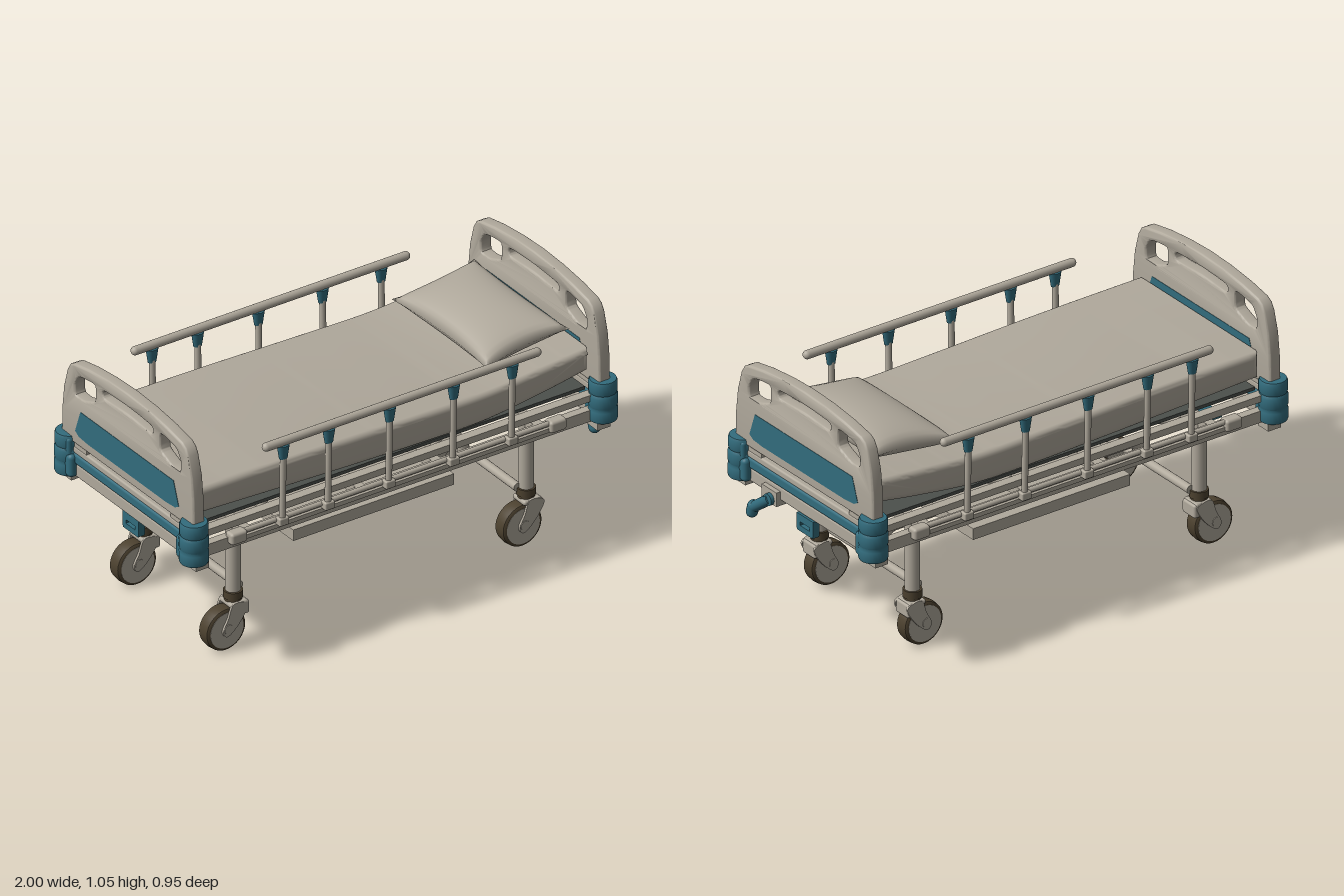
import * as THREE from 'three';
import { toCreasedNormals, mergeVertices } from 'three/addons/utils/BufferGeometryUtils.js';
import { RoundedBoxGeometry } from 'three/addons/geometries/RoundedBoxGeometry.js';

const material = (name, color) => {
  const m = new THREE.MeshStandardMaterial({ color });
  m.name = name;
  return m;
};
const V = (x, y, z) => new THREE.Vector3(x, y, z);
const P = (x, y) => new THREE.Vector2(x, y);

export function createModel() {
  const bed = new THREE.Group();
  bed.name = 'hospitalBed';
  const cream = material('cream', 0xb0a99c);
  const teal = material('teal', 0x326c7d);
  const rubber = material('rubber', 0x4c412f);
  const dark = material('darkDeck', 0x4c504c);

  const add = (name, geo, mat, x = 0, y = 0, z = 0, parent = bed) => {
    const m = new THREE.Mesh(geo, mat);
    m.name = name;
    m.position.set(x, y, z);
    parent.add(m);
    return m;
  };
  const box = (name, mat, w, h, d, x, y, z, parent) => add(name, new THREE.BoxGeometry(w, h, d), mat, x, y, z, parent);
  const soft = (name, mat, w, h, d, x, y, z, r = 0.012, parent = bed) =>
    add(name, new RoundedBoxGeometry(w, h, d, 3, r), mat, x, y, z, parent);
  // Round bar between two points
  const rod = (name, mat, a, b, r, parent) => {
    const dir = b.clone().sub(a);
    const m = add(name, new THREE.CylinderGeometry(r, r, dir.length(), 16), mat, 0, 0, 0, parent);
    m.position.copy(a).add(b).multiplyScalar(0.5);
    m.quaternion.setFromUnitVectors(V(0, 1, 0), dir.normalize());
    return m;
  };
  // Shape drawn in (z, y), extruded along x and centred
  const slabX = (shape, depth, bevel = 0) => {
    const g = new THREE.ExtrudeGeometry(shape, {
      depth, bevelEnabled: bevel > 0, bevelSize: bevel, bevelThickness: bevel, bevelOffset: -bevel, bevelSegments: 4, curveSegments: 16,
    });
    return toCreasedNormals(g.translate(0, 0, -depth / 2).rotateY(Math.PI / 2), 0.6);
  };
  const loop = (pts, tension = 0.5) =>
    new THREE.CatmullRomCurve3(pts.map(([x, y]) => V(x, y, 0)), true, 'catmullrom', tension).getPoints(48).map(p => P(p.x, p.y));

  // Head and foot boards: rounded slabs with three hand holes
  const half = [[0.44, 0.66], [0.438, 0.78], [0.426, 0.88], [0.402, 0.965], [0.385, 0.993], [0.36, 1.008], [0.26, 1.027], [0.13, 1.041]];
  const arch = [...half, [0, 1.046], ...half.map(([x, y]) => [-x, y]).reverse()];
  const boardShape = new THREE.Shape(arch.map(p => P(...p)));
  const holes = [[[-0.155, 0.95], [0, 0.957], [0.155, 0.95], [0.157, 0.982], [0, 0.99], [-0.157, 0.982]]];
  for (const s of [1, -1])
    holes.push([[0.218, 0.91], [0.25, 0.892], [0.30, 0.874], [0.347, 0.876], [0.352, 0.92], [0.325, 0.962], [0.275, 0.974], [0.218, 0.976]].map(([x, y]) => [x * s, y]));
  boardShape.holes = holes.map(h => new THREE.Path(loop(h, 0.3)));
  const boardGeo = slabX(boardShape, 0.034, 0.01);
  const panelShape = new THREE.Shape([[-0.345, 0.72], [-0.32, 0.705], [-0.26, 0.7], [0.26, 0.7], [0.32, 0.705], [0.345, 0.72], [0.31, 0.818], [-0.31, 0.818]].map(p => P(...p)));
  const panelGeo = slabX(panelShape, 0.006);
  for (const s of [1, -1]) {
    const end = new THREE.Group();
    end.name = s > 0 ? 'headEnd' : 'footEnd';
    end.position.x = 0.935 * s;
    bed.add(end);
    add('board', boardGeo, cream, 0, 0, 0, end);
    soft('boardSill', cream, 0.045, 0.03, 0.78, 0, 0.627, 0, 0.008, end);
    for (const side of [1, -1]) {
      add('boardPanel', panelGeo, teal, side * 0.0255, 0, 0, end);
      rod('boardPost', cream, V(0, 0.5, side * 0.412), V(0, 0.7, side * 0.412), 0.027, end);
      box('boardFoot', cream, 0.04, 0.04, 0.1, 0, 0.65, side * 0.33, end);
    }
    soft('endRail', teal, 0.053, 0.046, 0.76, 0, 0.592, 0, 0.012, end);
    soft('endBeam', cream, 0.05, 0.06, 0.76, -0.005 * s, 0.54, 0, 0.01, end);
  }

  // Corner bumpers with three shallow tiers
  const tiers = [P(0, 0.508), P(0.046, 0.508)];
  [[0.51, 0.058], [0.57, 0.058], [0.628, 0.056]].forEach(([y, r]) =>
    tiers.push(P(r - 0.003, y), P(r, y + 0.008), P(r, y + 0.046), P(r - 0.004, y + 0.056)));
  tiers.push(P(0, 0.687));
  const bumperGeo = toCreasedNormals(new THREE.LatheGeometry(tiers, 28), 0.7);
  for (const sx of [1, -1]) for (const sz of [1, -1]) {
    add('cornerBumper', bumperGeo, teal, 0.942 * sx, 0, 0.416 * sz);
    soft('bumperBracket', teal, 0.085, 0.1, 0.07, 0.942 * sx, 0.56, 0.382 * sz, 0.018);
    soft('bumperShoulder', teal, 0.08, 0.08, 0.05, 0.942 * sx, 0.638, 0.389 * sz, 0.014);
    box('cornerFoot', cream, 0.06, 0.03, 0.065, 0.925 * sx, 0.495, 0.415 * sz);
  }

  // Mattress: side profile extruded across the bed
  const profile = new THREE.Shape();
  profile.moveTo(-0.9, 0.68);
  profile.splineThru([P(-0.4, 0.66), P(0.1, 0.645), P(0.42, 0.645), P(0.7, 0.678), P(0.9, 0.712)]);
  profile.lineTo(0.9, 0.81);
  profile.splineThru([P(0.7, 0.793), P(0.42, 0.772), P(0.1, 0.776), P(-0.4, 0.788), P(-0.9, 0.792)]);
  const mattress = new THREE.ExtrudeGeometry(profile, {
    depth: 0.72, bevelSize: 0.025, bevelThickness: 0.025, bevelOffset: -0.025, bevelSegments: 5, curveSegments: 12,
  });
  add('mattress', toCreasedNormals(mattress.translate(0, 0, -0.36), 0.9), cream);

  // Pillow: pinched cushion with drawn-out corners
  let pillow = new THREE.BoxGeometry(2, 2, 2, 24, 1, 24);
  const pos = pillow.attributes.position;
  for (let i = 0; i < pos.count; i++) {
    const u = pos.getX(i), v = pos.getZ(i), t = Math.pow(Math.max(0, (1 - u * u) * (1 - v * v)), 0.42);
    pos.setXYZ(i, 0.192 * u * (0.9 + 0.1 * v * v), 0.068 * t * pos.getY(i), 0.318 * v * (0.91 + 0.09 * u * u));
  }
  pillow.deleteAttribute('normal');
  pillow.deleteAttribute('uv');
  pillow = mergeVertices(pillow, 1e-5);
  pillow.computeVertexNormals();
  add('pillow', pillow, cream, 0.67, 0.85, -0.005).rotation.z = 0.13;

  // Deck, raised backrest board and under-frame
  box('deck', dark, 1.78, 0.014, 0.74, 0, 0.634, 0);
  box('backrestBoard', dark, 0.46, 0.01, 0.6, 0.665, 0.668, 0).rotation.z = 0.135;
  for (const s of [1, -1]) {
    box('sideBeam', cream, 1.82, 0.05, 0.035, 0, 0.532, 0.395 * s);
    box('deckRail', cream, 1.8, 0.028, 0.04, 0, 0.61, 0.395 * s);
    box('linkRail', cream, 1.5, 0.018, 0.02, 0, 0.578, 0.35 * s);
    box('innerBeam', cream, 1.3, 0.03, 0.03, 0, 0.575, 0.16 * s);
    rod('diagonalBrace', cream, V(-0.6, 0.575, 0.34 * s), V(-0.15, 0.575, 0), 0.014);
    rod('diagonalBrace', cream, V(0.2, 0.575, 0.34 * s), V(0.6, 0.575, 0.05 * s), 0.014);
  }
  for (const x of [-0.68, -0.15, 0.2, 0.67]) box('crossBeam', cream, 0.04, 0.04, 0.75, x, 0.535, 0);

  // Folding side rails
  const capGeo = new THREE.CylinderGeometry(0.027, 0.018, 0.058, 16).scale(1, 1, 0.68);
  for (const s of [1, -1]) {
    const rail = new THREE.Group();
    rail.name = s > 0 ? 'frontSideRail' : 'backSideRail';
    bed.add(rail);
    const z = 0.437 * s;
    add('handrail', new THREE.CapsuleGeometry(0.018, 1.245, 6, 16).rotateZ(Math.PI / 2), cream, 0, 0.913, z, rail);
    rod('lowerRail', cream, V(-0.74, 0.565, 0.415 * s), V(0.74, 0.565, 0.415 * s), 0.011, rail);
    box('railTrack', cream, 1.46, 0.018, 0.02, 0, 0.54, 0.415 * s, rail);
    for (const x of [-0.545, -0.335, -0.055, 0.24, 0.51]) {
      rod('railPost', cream, V(x, 0.55, 0.43 * s), V(x, 0.87, z), 0.013, rail);
      add('railCap', capGeo, teal, x, 0.868, z, rail);
      soft('postClamp', cream, 0.045, 0.034, 0.036, x, 0.562, 0.43 * s, 0.006, rail);
    }
    for (const x of [-0.745, 0.725]) soft('railMount', cream, 0.075, 0.05, 0.05, x, 0.553, 0.415 * s, 0.012, rail);
  }

  // Legs with swivel casters
  const tyreGeo = toCreasedNormals(new THREE.LatheGeometry(
    [[0.06, -0.032], [0.08, -0.032], [0.088, -0.026], [0.091, 0], [0.088, 0.026], [0.08, 0.032], [0.06, 0.032]].map(p => P(...p)), 32), 0.7).rotateX(Math.PI / 2);
  const discGeo = new THREE.CylinderGeometry(0.076, 0.076, 0.066, 32).rotateX(Math.PI / 2);
  const axleGeo = new THREE.CylinderGeometry(0.02, 0.02, 0.094, 16).rotateX(Math.PI / 2);
  const forkShape = new THREE.Shape(loop([[0.06, 0.2], [0.09, 0.18], [0.065, 0.13], [0.025, 0.085], [-0.008, 0.068], [-0.024, 0.095], [0.0, 0.145], [0.02, 0.198]]));
  const forkGeo = toCreasedNormals(new THREE.ExtrudeGeometry(forkShape, { depth: 0.01, bevelEnabled: false }).translate(0, 0, -0.005), 0.6);
  for (const [x, wheelX] of [[-0.68, -0.05], [0.67, -0.035]]) {
    for (const s of [1, -1]) {
      const leg = new THREE.Group();
      leg.name = 'leg';
      leg.position.set(x, 0, 0.297 * s);
      bed.add(leg);
      rod('legPost', cream, V(0, 0.23, 0), V(0, 0.53, 0), 0.03, leg);
      rod('collar', rubber, V(0, 0.21, 0), V(0, 0.241, 0), 0.038, leg);
      rod('collarNeck', rubber, V(0, 0.195, 0), V(0, 0.212, 0), 0.034, leg);
      soft('forkCrown', cream, 0.08, 0.022, 0.084, 0.004, 0.19, 0, 0.01, leg);
      soft('forkHood', cream, 0.03, 0.058, 0.082, 0.036, 0.168, 0, 0.01, leg);
      add('tyre', tyreGeo, rubber, wheelX, 0.091, 0, leg);
      add('wheelDisc', discGeo, cream, wheelX, 0.091, 0, leg);
      add('axle', axleGeo, cream, wheelX, 0.1, 0, leg);
      for (const k of [1, -1]) add('fork', forkGeo, cream, wheelX, 0, k * 0.039, leg);
    }
    rod('legCrossbar', cream, V(x * 0.95, 0.243, -0.29), V(x * 0.95, 0.243, 0.29), 0.018);
  }

  // Storage tray on a bent centre tube
  const bend = new THREE.CurvePath();
  bend.add(new THREE.LineCurve3(V(-0.615, 0.26, 0), V(-0.615, 0.295, 0)));
  bend.add(new THREE.QuadraticBezierCurve3(V(-0.615, 0.295, 0), V(-0.615, 0.345, 0), V(-0.56, 0.345, 0)));
  bend.add(new THREE.LineCurve3(V(-0.56, 0.345, 0), V(0.53, 0.345, 0)));
  bend.add(new THREE.QuadraticBezierCurve3(V(0.53, 0.345, 0), V(0.585, 0.345, 0), V(0.585, 0.295, 0)));
  bend.add(new THREE.LineCurve3(V(0.585, 0.295, 0), V(0.585, 0.26, 0)));
  add('trayTube', new THREE.TubeGeometry(bend, 120, 0.024, 14), cream);
  box('tray', cream, 0.74, 0.048, 0.53, -0.01, 0.359, 0);

  // Crank at the head end
  box('crankMount', cream, 0.06, 0.06, 0.095, 0.945, 0.52, 0.205);
  rod('crankHub', teal, V(0.955, 0.51, 0.195), V(0.99, 0.51, 0.195), 0.025);
  rod('crankArm', teal, V(0.975, 0.51, 0.195), V(0.975, 0.435, 0.295), 0.022);
  add('crankGrip', new THREE.CapsuleGeometry(0.024, 0.03, 5, 14), teal, 0.975, 0.42, 0.308).rotation.x = -0.3;

  // Under-frame brackets
  for (const x of [-0.932, 0.942]) {
    for (const z of [-0.042, 0.042]) box('bracketSide', teal, 0.03, 0.065, 0.022, x, 0.475, z);
    for (const [y, h] of [[0.448, 0.024], [0.492, 0.032]]) box('bracketBar', teal, 0.03, h, 0.1, x, y, 0);
  }
  box('headBracketPlate', teal, 0.07, 0.02, 0.1, 0.865, 0.498, 0);
  box('footUnderBracket', teal, 0.07, 0.02, 0.11, -0.78, 0.497, -0.205);
  return bed;
}
